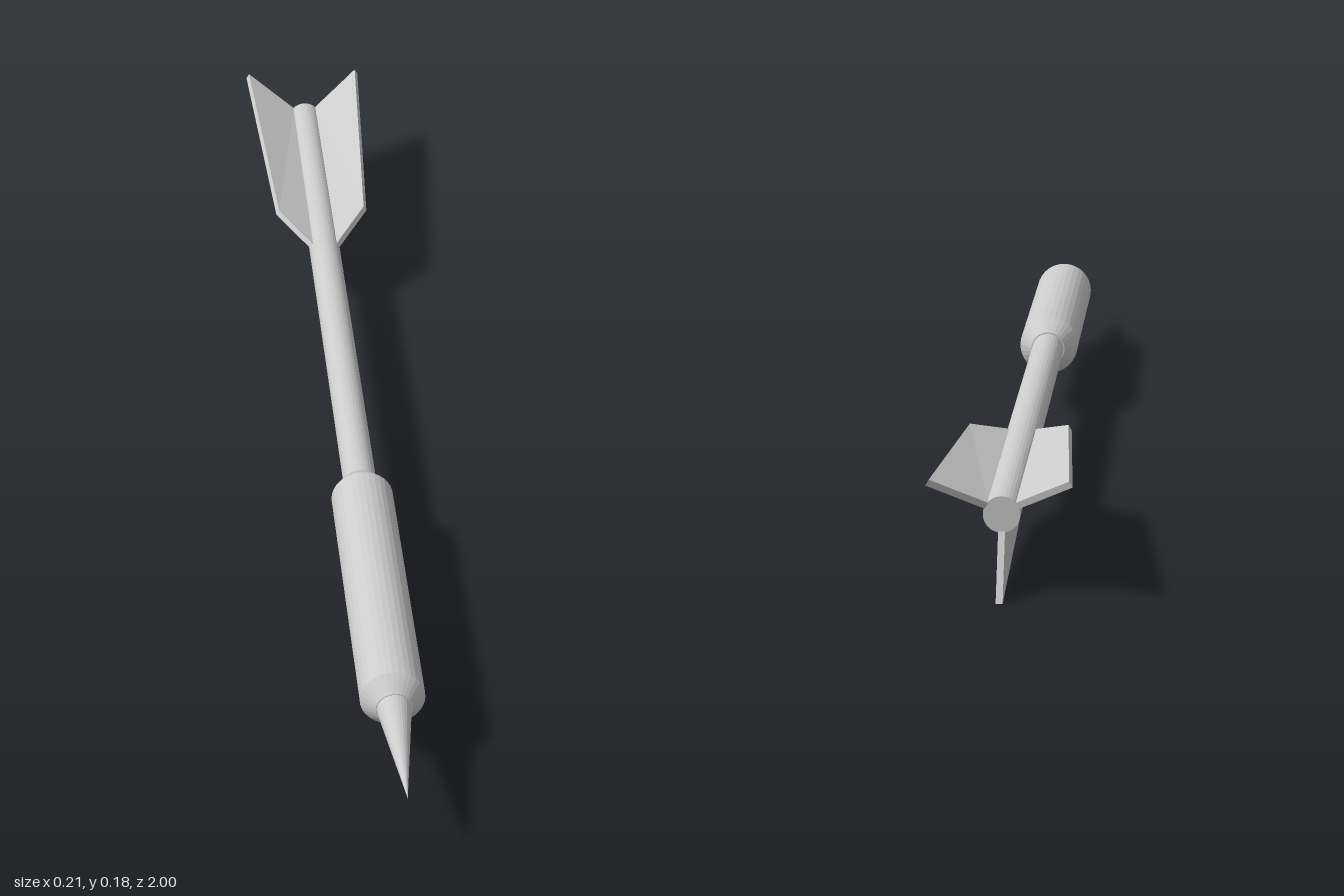
import * as THREE from 'three';

const AXIS_Y = 0.118;
const material = new THREE.MeshStandardMaterial({ color: 0xcccccc, flatShading: true });

// Revolve [radius, z] pairs (from back to front) around the z axis
function turned(name, profile) {
  const geo = new THREE.LatheGeometry(profile.map(([r, z]) => new THREE.Vector2(r, z)), 32);
  geo.rotateX(Math.PI / 2);
  const mesh = new THREE.Mesh(geo, material);
  mesh.name = name;
  return mesh;
}

// Thin swept fin pointing along +x; its front shoulder may be bent sideways
function fin(name, angle, bend) {
  const thickness = 0.01, shoulderR = 0.087;
  const outline = [[0.015, -0.945], [0.025, -0.945], [0.118, -1], [shoulderR, -0.55], [0.025, -0.47], [0.015, -0.47]];
  const shape = new THREE.Shape(outline.map(([r, z]) => new THREE.Vector2(r, -z)));
  const geo = new THREE.ExtrudeGeometry(shape, { depth: thickness, bevelEnabled: false });
  geo.translate(0, 0, -thickness / 2);
  const pos = geo.attributes.position;
  for (let i = 0; i < pos.count; i++) {
    if (Math.abs(pos.getX(i) - shoulderR) < 1e-4) pos.setZ(i, pos.getZ(i) + bend);
  }
  geo.rotateX(-Math.PI / 2); // shape height becomes -z, thickness becomes y
  geo.computeVertexNormals();
  const mesh = new THREE.Mesh(geo, material);
  mesh.rotation.z = angle;
  mesh.name = name;
  return mesh;
}

export function createModel() {
  const dart = new THREE.Group();
  dart.name = 'dart';
  const body = new THREE.Group();
  body.name = 'body';
  body.position.y = AXIS_Y;
  dart.add(body);

  body.add(
    turned('tip', [[0.028, 0.785], [0, 1]]),
    turned('barrel', [[0, 0.225], [0.029, 0.225], [0.05, 0.26], [0.05, 0.77], [0.028, 0.795], [0, 0.795]]),
    turned('shaft', [[0, -0.945], [0.027, -0.945], [0.027, 0.24]]),
    // Three fins: two raised, one straight down
    fin('leftFin', Math.PI / 6, -0.006),
    fin('rightFin', Math.PI * 5 / 6, 0.006),
    fin('bottomFin', -Math.PI / 2, 0)
  );
  return dart;
}
